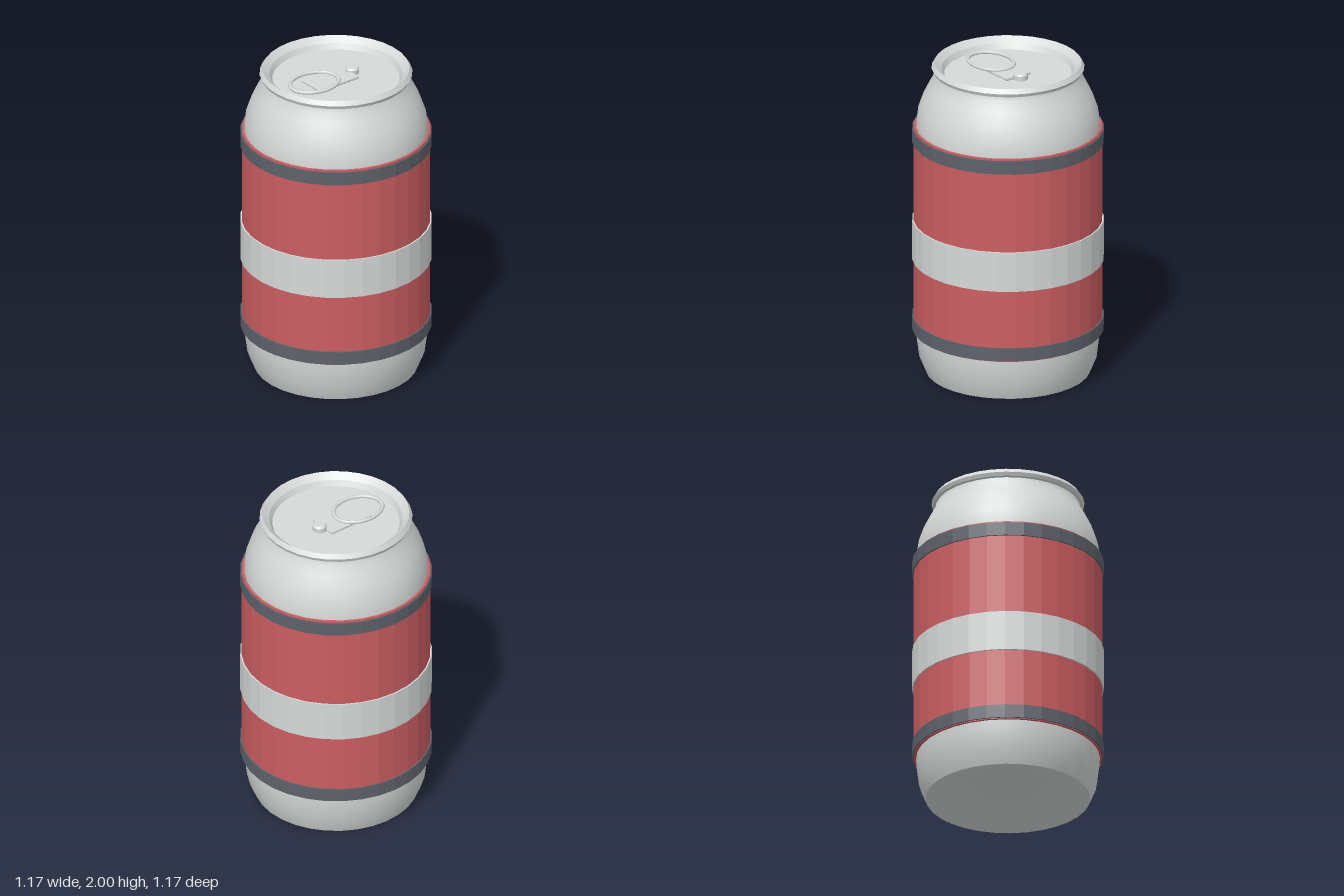
import * as THREE from 'three';
import { mergeGeometries } from 'three/addons/utils/BufferGeometryUtils.js';

const SIDES = 32;

const mat = (name, color) => {
  const m = new THREE.MeshStandardMaterial({ color });
  m.name = name;
  return m;
};

// Lathe with smooth normals along the whole profile
const smoothLathe = (pts) =>
  new THREE.LatheGeometry(pts.map(([r, y]) => new THREE.Vector2(r, y)), SIDES);

// Lathe that is smooth around the axis but creased at every profile point
const creasedLathe = (pts) =>
  mergeGeometries(pts.slice(1).map((p, i) => smoothLathe([pts[i], p])));

// Faceted hoop wrapped around the body
function hoop(radius, y0, y1) {
  const g = smoothLathe([[0.55, y0], [radius, y0], [radius, y1], [0.55, y1]]).toNonIndexed();
  g.computeVertexNormals();
  return g;
}

export function createModel() {
  const silver = mat('silver', 0xd6d9d8);
  const red = mat('red', 0xcb5e62);
  const dark = mat('dark grey', 0x5e626a);

  const can = new THREE.Group();
  can.name = 'drinkCan';
  const add = (name, geometry, material, parent = can) => {
    const mesh = new THREE.Mesh(geometry, material);
    mesh.name = name;
    parent.add(mesh);
    return mesh;
  };

  // Body shell with curved foot and shoulder
  add('body', smoothLathe([
    [0.5, 0], [0.541, 0.1], [0.556, 0.22], [0.56, 0.32], [0.56, 1.54],
    [0.558, 1.61], [0.548, 1.69], [0.517, 1.78], [0.477, 1.86], [0.445, 1.92], [0.44, 1.95],
  ]), silver);

  // Concave underside
  const dome = [];
  for (let i = 0; i <= 8; i++) {
    const t = i / 8;
    dome.push([0.5 * t, 0.13 * (1 - t * t)]);
  }
  add('underside', smoothLathe(dome), silver);

  // Rolled rim stepping down to the flat lid
  add('rim', creasedLathe([
    [0.435, 1.945], [0.455, 1.95], [0.465, 1.972], [0.447, 2],
    [0.405, 1.965], [0.387, 1.93],
  ]), silver);
  add('lid', creasedLathe([[0.387, 1.93], [0, 1.93]]), silver);

  // Painted sleeve and its bands
  add('sleeve', hoop(0.574, 0.27, 1.59), red);
  add('middleBand', hoop(0.583, 0.73, 0.985), silver);
  for (const [name, y] of [['lowerBand', 0.275], ['upperBand', 1.495]]) {
    add(name, hoop(0.583, y, y + 0.085), dark);
  }

  // Opening tab: bevelled plate, pull ring and rivet
  const tab = new THREE.Group();
  tab.name = 'openingTab';
  tab.position.y = 1.93;
  can.add(tab);

  const plate = new THREE.Shape();
  plate.moveTo(-0.087, -0.147);
  plate.lineTo(0.087, -0.147);
  plate.lineTo(0.087, 0.147);
  plate.lineTo(-0.087, 0.147);
  plate.closePath();
  const plateGeometry = new THREE.ExtrudeGeometry(plate, {
    depth: 0.012, bevelEnabled: true, bevelSegments: 1, bevelSize: 0.005, bevelThickness: 0.005,
  });
  plateGeometry.rotateX(-Math.PI / 2);
  add('tabPlate', plateGeometry, silver, tab).position.set(0, 0.003, 0.048);

  const ringGeometry = new THREE.TorusGeometry(0.126, 0.011, 8, 28);
  ringGeometry.rotateX(Math.PI / 2);
  const ring = add('pullRing', ringGeometry, silver, tab);
  ring.scale.z = 1.28;
  ring.position.set(0, 0.025, 0.168);

  const rivet = add('rivet', creasedLathe([
    [0.043, 0], [0.043, 0.03], [0.034, 0.04], [0, 0.042],
  ]), silver, tab);
  rivet.position.z = -0.125;

  return can;
}
